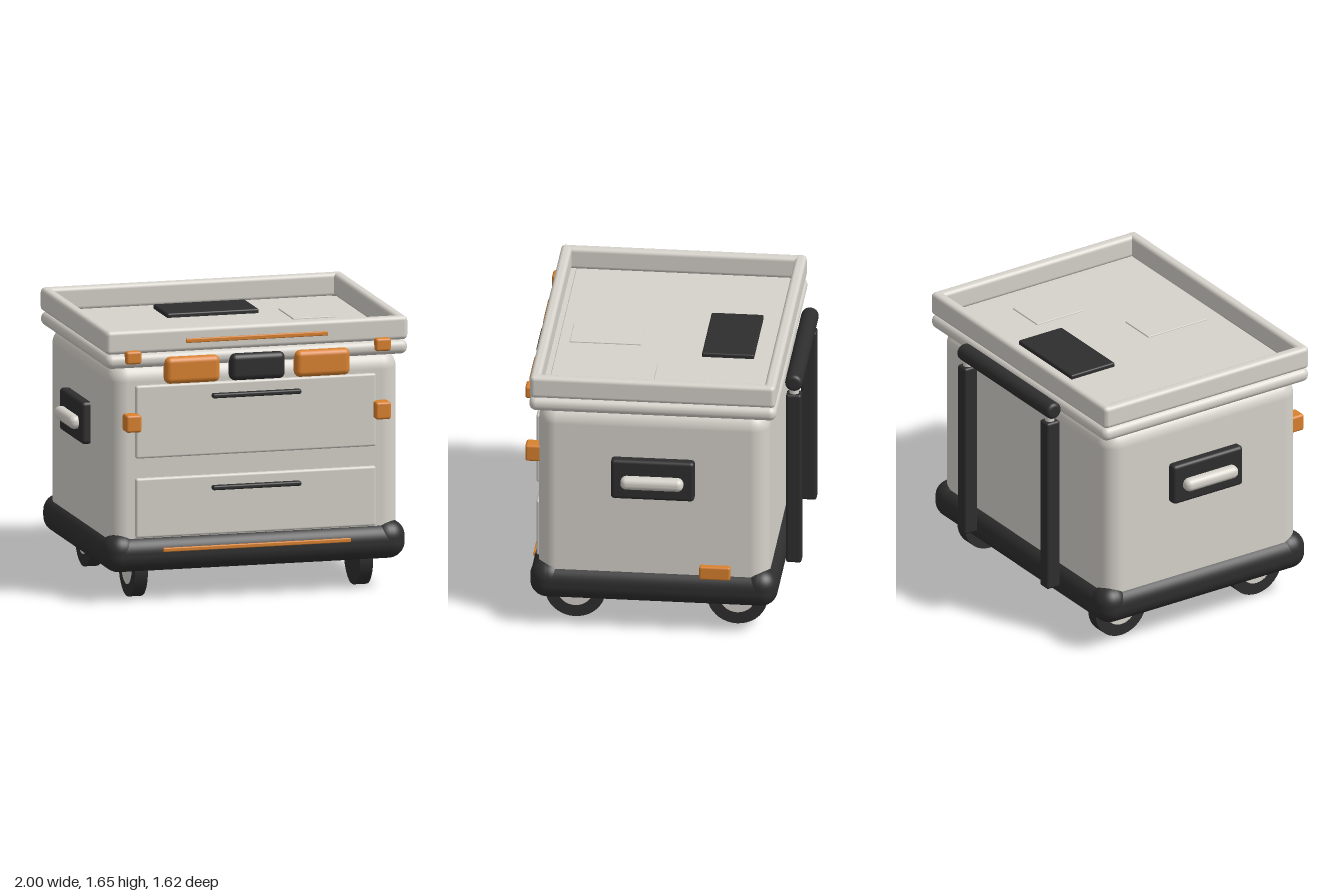
import * as THREE from 'three';
import { RoundedBoxGeometry } from 'three/addons/geometries/RoundedBoxGeometry.js';

const shell = new THREE.MeshStandardMaterial({ name: 'warm grey shell', color: 0xd6d2cb });
const rubber = new THREE.MeshStandardMaterial({ name: 'black rubber', color: 0x2e2e2e });
const accent = new THREE.MeshStandardMaterial({ name: 'orange accent', color: 0xd9812e });

export function createModel() {
  const root = new THREE.Group();
  root.name = 'rollingToolChest';

  const add = (name, geometry, material) => {
    const mesh = new THREE.Mesh(geometry, material);
    mesh.name = name;
    root.add(mesh);
    return mesh;
  };
  // Rounded block given by its limits on each axis
  const block = (name, material, [x0, x1], [y0, y1], [z0, z1], radius = 0.01, segments = 3) => {
    const geometry = new RoundedBoxGeometry(x1 - x0, y1 - y0, z1 - z0, segments, radius);
    geometry.translate((x0 + x1) / 2, (y0 + y1) / 2, (z0 + z1) / 2);
    return add(name, geometry, material);
  };
  // Limits mirrored to the given side
  const side = (s, a, b) => (s > 0 ? [a, b] : [-b, -a]);

  // Body and bumper base
  block('body', shell, [-0.89, 0.89], [0.22, 1.44], [-0.655, 0.722], 0.11, 6);
  block('base', rubber, [-0.93, 0.93], [0.18, 0.40], [-0.705, 0.77], 0.1, 6);
  for (const s of [-1, 1]) {
    for (const z of [[-0.705, -0.495], [0.56, 0.77]]) {
      block('cornerBumper', rubber, side(s, 0.72, 0.93), [0.19, 0.413], z, 0.1, 6);
    }
  }
  block('baseStrip', accent, [-0.58, 0.575], [0.305, 0.33], [0.74, 0.778], 0.006);

  // Drawers with slim pulls
  for (const [y0, y1, pull] of [[0.87, 1.31, 1.23], [0.39, 0.75, 0.675]]) {
    block('drawerFront', shell, [-0.74, 0.738], [y0, y1], [0.69, 0.745], 0.014);
    block('drawerPull', rubber, [-0.275, 0.27], [pull - 0.014, pull + 0.014], [0.73, 0.777], 0.01);
  }

  // Lid: lower slab, four rim bars and the recessed tray
  block('lidSlab', shell, [-0.93, 0.93], [1.42, 1.508], [-0.703, 0.77], 0.042, 5);
  for (const z of [[-0.698, -0.63], [0.7, 0.765]]) {
    block('lidRimLong', shell, [-0.927, 0.927], [1.508, 1.65], z, 0.025);
  }
  for (const s of [-1, 1]) {
    block('lidRimShort', shell, side(s, 0.863, 0.93), [1.51, 1.648], [-0.695, 0.762], 0.025);
  }
  block('trayFloor', shell, [-0.85, 0.845], [1.49, 1.522], [-0.61, 0.672], 0.006);
  block('trayPad', rubber, [-0.285, 0.28], [1.51, 1.548], [-0.505, -0.195], 0.01);
  block('trayPlateSide', shell, [0.42, 0.68], [1.515, 1.53], [-0.275, 0.055], 0.004);
  block('trayPlateFront', shell, [-0.085, 0.16], [1.515, 1.53], [0.18, 0.605], 0.004);
  block('lidStrip', accent, [-0.44, 0.435], [1.56, 1.586], [0.74, 0.776], 0.006);

  // Front latches
  for (const [x0, material] of [[-0.573, accent], [-0.173, rubber], [0.227, accent]]) {
    block('latch', material, [x0, x0 + 0.338], [1.32, 1.482], [0.725, 0.807], 0.035, 5);
  }
  for (const s of [-1, 1]) {
    block('lidClip', accent, side(s, 0.72, 0.815), [1.452, 1.53], [0.75, 0.803], 0.015);
    block('bodyClip', accent, side(s, 0.72, 0.815), [1.04, 1.145], [0.705, 0.803], 0.015);
  }
  block('sideClip', accent, [0.87, 0.925], [0.365, 0.45], [-0.43, -0.245], 0.012);

  // Side carry handles
  for (const s of [-1, 1]) {
    block('handlePlate', rubber, side(s, 0.87, 0.945), [0.88, 1.135], [-0.217, 0.28], 0.022);
    block('handleGrip', shell, side(s, 0.92, 1.0), [0.96, 1.04], [-0.155, 0.22], 0.036, 5);
  }

  // Rear pull handle: posts, stems and crossbar
  for (const s of [-1, 1]) {
    block('handlePost', rubber, side(s, 0.393, 0.478), [0.29, 1.39], [-0.808, -0.715], 0.015);
    const stem = add('handleStem', new THREE.CylinderGeometry(0.028, 0.028, 0.1, 20), shell);
    stem.position.set(s * 0.435, 1.4, -0.762);
  }
  const r = 0.052, half = 0.487, bevel = 0.024;
  const profile = [new THREE.Vector2(0, -half)];
  for (const end of [-1, 1]) {
    for (let i = 0; i <= 5; i++) {
      const a = ((end < 0 ? i : 5 - i) / 5) * Math.PI / 2;
      profile.push(new THREE.Vector2(r - bevel + bevel * Math.sin(a), end * (half - bevel + bevel * Math.cos(a))));
    }
  }
  profile.push(new THREE.Vector2(0, half));
  const bar = add('handleCrossbar', new THREE.LatheGeometry(profile, 28), rubber);
  bar.rotation.z = Math.PI / 2;
  bar.position.set(-0.003, 1.466, -0.762);

  // Wheels with pale hub discs on the outside
  for (const s of [-1, 1]) {
    for (const z of [0.513, -0.453]) {
      const tyre = add('tyre', new THREE.CylinderGeometry(0.182, 0.182, 0.08, 40), rubber);
      tyre.rotation.z = Math.PI / 2;
      tyre.position.set(s * 0.693, 0.182, z);
      const hub = add('hub', new THREE.CylinderGeometry(0.108, 0.108, 0.01, 32), shell);
      hub.rotation.z = Math.PI / 2;
      hub.position.set(s * 0.732, 0.182, z);
    }
  }
  return root;
}
